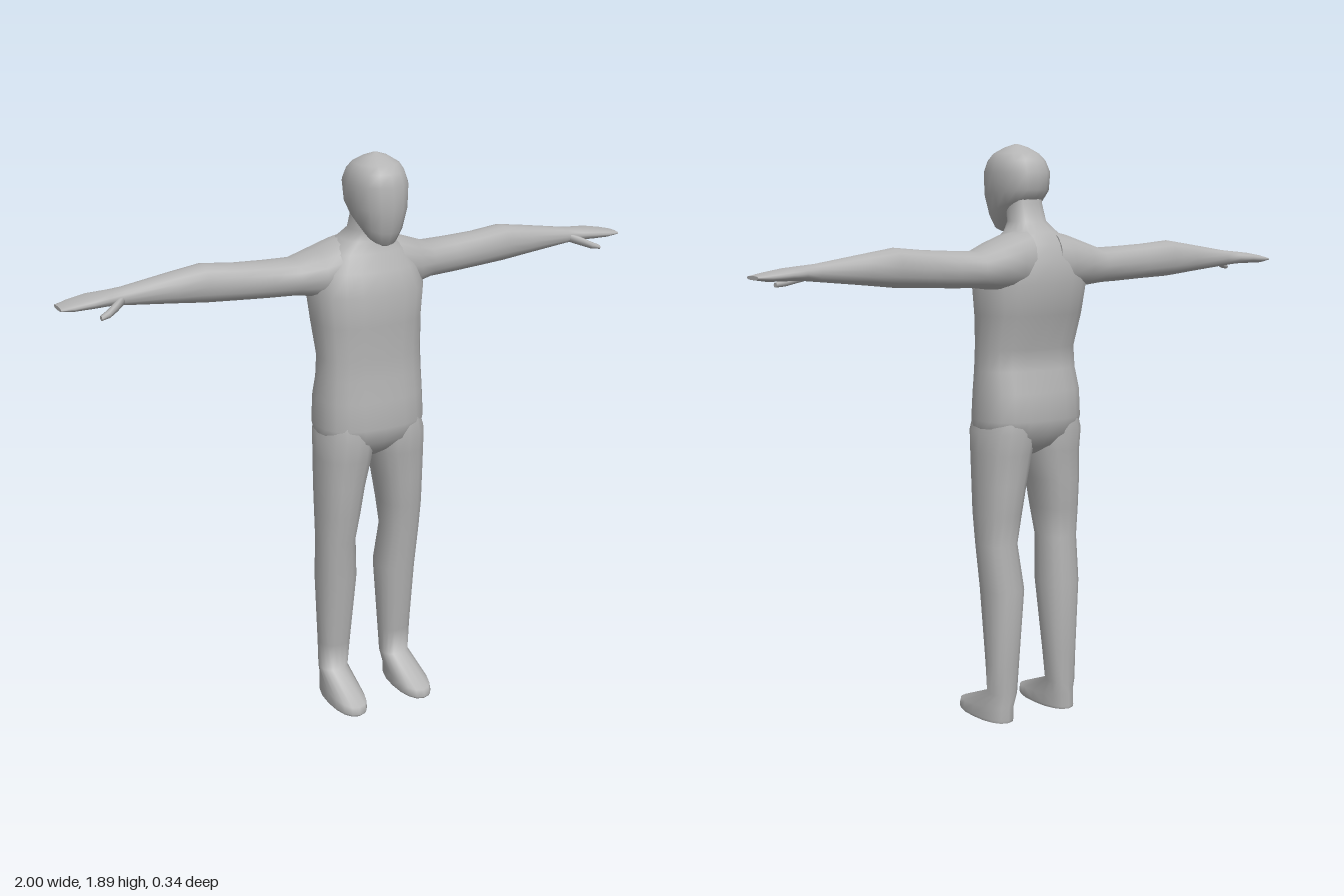
import * as THREE from 'three';

const skin = new THREE.MeshStandardMaterial({ color: 0xb4b4b4 });
skin.name = 'plain grey';

// Skin a stack of rounded sections, each [position, uMin, uMax, zMin, zMax, tilt].
// axis 'y': u is x and the stack rises; axis 'x': u is y and the stack runs outward.
function loft(name, axis, rings, { sides = 16, power = 0.85, mirror = false } = {}) {
  const pos = [], index = [];
  const put = (p, u, z) => {
    const x = axis === 'y' ? u : p, y = axis === 'y' ? p : u;
    pos.push(mirror ? -x : x, y, z);
  };
  const tri = (a, b, c) => (mirror ? index.push(a, c, b) : index.push(a, b, c));
  const soft = v => Math.sign(v) * Math.abs(v) ** power;
  const addRing = ([p, u0, u1, z0, z1, tilt = 0]) => {
    const start = pos.length / 3;
    for (let i = 0; i < sides; i++) {
      const t = (i / sides) * Math.PI * 2;
      const c = soft(Math.cos(t)), s = soft(Math.sin(t));
      const cu = axis === 'y' ? c : s, cz = axis === 'y' ? s : c;
      const dz = (cz * (z1 - z0)) / 2;
      put(p + tilt * dz, (u0 + u1) / 2 + (cu * (u1 - u0)) / 2, (z0 + z1) / 2 + dz);
    }
    return start;
  };
  const starts = rings.map(addRing);
  for (let r = 0; r < rings.length - 1; r++) {
    for (let i = 0; i < sides; i++) {
      const j = (i + 1) % sides;
      const a = starts[r] + i, b = starts[r] + j, c = starts[r + 1] + i, d = starts[r + 1] + j;
      tri(a, c, b);
      tri(b, c, d);
    }
  }
  // End caps have their own vertices so the rims stay crisp
  for (const [ring, top] of [[rings[0], false], [rings[rings.length - 1], true]]) {
    const s = addRing(ring), mid = pos.length / 3;
    put(ring[0], (ring[1] + ring[2]) / 2, (ring[3] + ring[4]) / 2);
    for (let i = 0; i < sides; i++) {
      const j = (i + 1) % sides;
      if (top) tri(mid, s + j, s + i);
      else tri(mid, s + i, s + j);
    }
  }
  const g = new THREE.BufferGeometry();
  g.setAttribute('position', new THREE.Float32BufferAttribute(pos, 3));
  g.setIndex(index);
  g.computeVertexNormals();
  const mesh = new THREE.Mesh(g, skin);
  mesh.name = name;
  return mesh;
}

// Section symmetric about the body's middle: height, half width, back, front, tilt
const even = ([y, w, back, front, tilt]) => [y, -w, w, back, front, tilt];

export function createModel() {
  const model = new THREE.Group();
  model.name = 'figure';
  const body = new THREE.Group();
  body.name = 'body';
  body.position.x = -0.007;
  model.add(body);

  // Torso from crotch to neck
  body.add(loft('torso', 'y', [
    [0.89, 0.02, -0.05, 0.03],
    [0.92, 0.1, -0.1, 0.075],
    [0.96, 0.178, -0.13, 0.108],
    [1.01, 0.187, -0.145, 0.12],
    [1.1, 0.184, -0.14, 0.113],
    [1.17, 0.178, -0.117, 0.105],
    [1.24, 0.175, -0.112, 0.102],
    [1.35, 0.182, -0.152, 0.105],
    [1.45, 0.192, -0.17, 0.11],
    [1.52, 0.172, -0.162, 0.083],
    [1.575, 0.135, -0.142, 0.057],
    [1.612, 0.082, -0.115, 0.043],
    [1.645, 0.06, -0.073, 0.04],
    [1.7, 0.056, -0.055, 0.055],
    [1.75, 0.055, -0.05, 0.06],
  ].map(even), { sides: 20, power: 0.8 }));

  // Head with a chin that drops forward
  body.add(loft('head', 'y', [
    [1.628, 0.025, 0.04, 0.112, -0.5],
    [1.645, 0.05, 0.01, 0.125, -0.5],
    [1.685, 0.073, -0.055, 0.145, -0.3],
    [1.735, 0.09, -0.08, 0.16, -0.08],
    [1.8, 0.096, -0.082, 0.157],
    [1.837, 0.084, -0.064, 0.143],
    [1.86, 0.07, -0.035, 0.118],
    [1.88, 0.038, 0.005, 0.075],
    [1.89, 0.006, 0.034, 0.046],
  ].map(even), { power: 0.92 }));

  for (const mirror of [false, true]) {
    const side = mirror ? 'right' : 'left';
    // Leg and foot, sole first
    body.add(loft(side + 'Leg', 'y', [
      [0.003, 0.072, 0.18, -0.088, 0.165],
      [0.012, 0.068, 0.183, -0.09, 0.172],
      [0.046, 0.068, 0.181, -0.09, 0.165, -0.08],
      [0.1, 0.07, 0.17, -0.09, 0.002],
      [0.2, 0.063, 0.172, -0.095, 0.012],
      [0.45, 0.045, 0.18, -0.11, 0.043],
      [0.6, 0.057, 0.186, -0.086, 0.058],
      [0.7, 0.044, 0.187, -0.1, 0.078],
      [0.8, 0.028, 0.188, -0.11, 0.088],
      [0.9, 0.006, 0.188, -0.116, 0.1],
      [0.97, 0.0, 0.186, -0.13, 0.11],
      [1.03, 0.02, 0.17, -0.12, 0.1],
    ], { mirror, power: 0.87 }));

    // Arm from shoulder to mitten hand
    model.add(loft(side + 'Arm', 'x', [
      [0.05, 1.43, 1.62, -0.155, 0.045],
      [0.1, 1.43, 1.607, -0.165, 0.05],
      [0.17, 1.433, 1.582, -0.166, 0.04],
      [0.24, 1.442, 1.557, -0.156, 0.002],
      [0.33, 1.445, 1.56, -0.145, -0.01],
      [0.43, 1.45, 1.565, -0.138, -0.02],
      [0.54, 1.455, 1.575, -0.143, -0.03],
      [0.64, 1.466, 1.56, -0.138, -0.037],
      [0.8, 1.482, 1.535, -0.122, -0.053],
      [0.85, 1.487, 1.53, -0.132, -0.042],
      [0.9, 1.488, 1.525, -0.143, -0.034],
      [0.96, 1.488, 1.515, -0.133, -0.038],
      [1.0, 1.494, 1.506, -0.117, -0.045],
    ], { mirror }));

    // Thumb pointing forward and down
    model.add(loft(side + 'Thumb', 'x', [
      [0.8, 1.49, 1.52, -0.08, -0.055],
      [0.835, 1.478, 1.508, -0.055, -0.022],
      [0.865, 1.468, 1.492, -0.035, -0.004],
      [0.893, 1.465, 1.48, -0.02, 0.001],
    ], { mirror, sides: 8 }));
  }
  return model;
}
